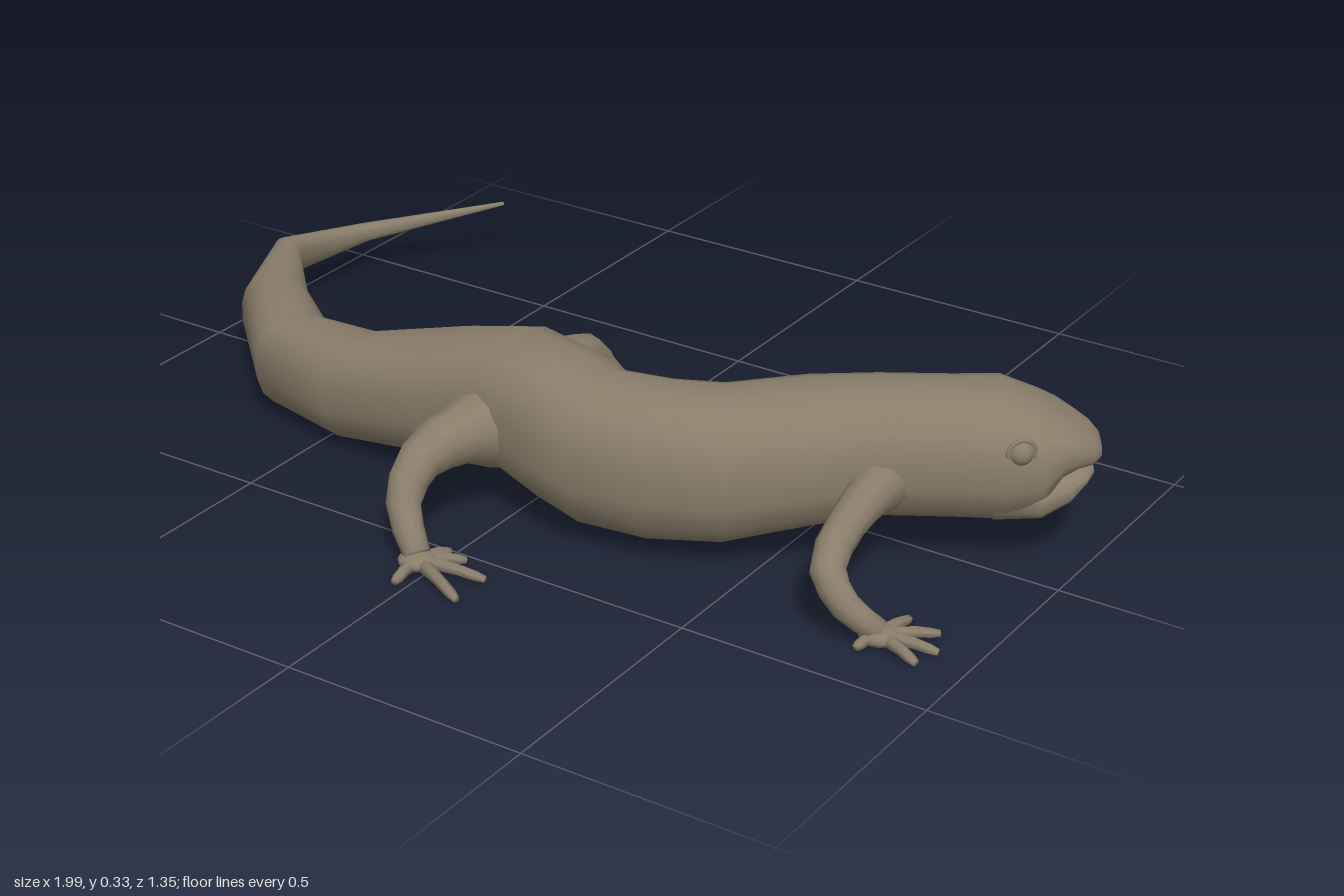
import * as THREE from 'three';

const skin = new THREE.MeshStandardMaterial({ color: 0x8a7e6a });
skin.name = 'olive brown skin';
const UP = new THREE.Vector3(0, 1, 0);

// Loft of rounded cross-sections; each row is [x, y, z, halfWidth, halfHeight]
function loft(name, rows, sides, power = 2, level = false) {
  const pts = rows.map(r => new THREE.Vector3(r[0], r[1], r[2]));
  const pos = [], index = [];
  const soft = v => Math.sign(v) * Math.pow(Math.abs(v), 2 / power);
  rows.forEach((r, i) => {
    const t = pts[Math.min(i + 1, rows.length - 1)].clone().sub(pts[i]).normalize();
    if (i > 0) t.add(pts[i].clone().sub(pts[i - 1]).normalize());
    if (level || i === rows.length - 1 && i === 0) t.y = 0;
    t.normalize();
    const side = t.clone().cross(UP).normalize();
    const up = side.clone().cross(t);
    for (let j = 0; j < sides; j++) {
      const a = (j + 0.5) / sides * Math.PI * 2;
      const p = pts[i].clone()
        .addScaledVector(side, soft(Math.cos(a)) * r[3])
        .addScaledVector(up, soft(Math.sin(a)) * r[4]);
      pos.push(p.x, p.y, p.z);
    }
  });
  for (let i = 0; i < rows.length - 1; i++) {
    for (let j = 0; j < sides; j++) {
      const a = i * sides + j, b = i * sides + (j + 1) % sides;
      index.push(a, a + sides, b, b, a + sides, b + sides);
    }
  }
  // end caps
  const n = rows.length * sides, last = n - sides;
  pos.push(...pts[0].toArray(), ...pts[pts.length - 1].toArray());
  for (let j = 0; j < sides; j++) {
    const k = (j + 1) % sides;
    index.push(n, j, k, n + 1, last + k, last + j);
  }
  const g = new THREE.BufferGeometry();
  g.setAttribute('position', new THREE.Float32BufferAttribute(pos, 3));
  g.setIndex(index);
  g.computeVertexNormals();
  const mesh = new THREE.Mesh(g, skin);
  mesh.name = name;
  return mesh;
}

// Point in head space: distance forward, distance sideways
const headPoint = (s, lat, y) => [0.72 + 0.83 * s + 0.55 * lat, y, -0.03 - 0.55 * s + 0.83 * lat];
const headRow = ([s, hw, bottom, top]) => [...headPoint(s, 0, (top + bottom) / 2), hw, (top - bottom) / 2];

// Leg with a smoothed path and five toes; path rows are [x, y, z, radius]
function makeLeg(name, path, tips) {
  const leg = new THREE.Group();
  leg.name = name;
  const curve = new THREE.CatmullRomCurve3(path.map(p => new THREE.Vector3(p[0], p[1], p[2])));
  const steps = (path.length - 1) * 2;
  const rows = [];
  for (let i = 0; i <= steps; i++) {
    const p = curve.getPoint(i / steps);
    const a = path[Math.floor(i / 2)][3], b = path[Math.ceil(i / 2)][3];
    rows.push([p.x, p.y, p.z, (a + b) / 2, (a + b) / 2]);
  }
  leg.add(loft(name + 'Limb', rows, 10));

  const [px, , pz] = path[path.length - 1];
  const palm = new THREE.Mesh(new THREE.SphereGeometry(1, 12, 8), skin);
  palm.name = 'palm';
  palm.scale.set(0.038, 0.018, 0.036);
  palm.position.set(px, 0.018, pz);
  leg.add(palm);

  for (const [tx, tz] of tips) {
    const at = (k, y, w, h) => [px + (tx - px) * k, y, pz + (tz - pz) * k, w, h];
    leg.add(loft('toe', [
      at(0.1, 0.018, 0.014, 0.014),
      at(0.6, 0.016, 0.011, 0.012),
      at(0.85, 0.011, 0.011, 0.010),
      at(1, 0.008, 0.007, 0.007),
    ], 6));
  }
  return leg;
}

export function createModel() {
  const model = new THREE.Group();
  model.name = 'salamander';

  // Tail, trunk and upper head in one skin
  const spine = [
    [-0.735, 0.125, -0.68, 0.004, 0.004],
    [-0.95, 0.086, -0.45, 0.017, 0.021],
    [-0.97, 0.115, -0.20, 0.031, 0.042],
    [-0.83, 0.10, 0.01, 0.072, 0.085],
    [-0.64, 0.105, 0.18, 0.088, 0.097],
    [-0.45, 0.115, 0.217, 0.102, 0.107],
    [-0.22, 0.165, 0.215, 0.124, 0.125],
    [-0.06, 0.20, 0.215, 0.132, 0.132],
    [0.08, 0.188, 0.25, 0.130, 0.146],
    [0.17, 0.173, 0.265, 0.130, 0.147],
    [0.29, 0.175, 0.25, 0.130, 0.150],
    [0.40, 0.18, 0.205, 0.135, 0.145],
    [0.53, 0.20, 0.10, 0.135, 0.134],
    [0.63, 0.208, 0.025, 0.128, 0.127],
  ];
  const head = [
    [0.03, 0.128, 0.08, 0.335], [0.12, 0.138, 0.08, 0.333], [0.19, 0.122, 0.10, 0.306],
    [0.225, 0.108, 0.165, 0.286], [0.255, 0.092, 0.183, 0.266],
    [0.285, 0.068, 0.185, 0.247], [0.302, 0.042, 0.195, 0.229],
  ].map(headRow);
  model.add(loft('body', [...spine, ...head], 16, 2.4, true));

  // Lower jaw, set in a little below the mouth line
  const jaw = [
    [0.10, 0.115, 0.085, 0.185], [0.19, 0.112, 0.088, 0.184],
    [0.245, 0.088, 0.115, 0.183], [0.275, 0.062, 0.145, 0.182], [0.29, 0.04, 0.163, 0.181],
  ].map(headRow);
  model.add(loft('lowerJaw', jaw, 14, 2.5, true));

  // Eyes with a lid rim
  for (const m of [1, -1]) {
    const eye = new THREE.Group();
    eye.name = m > 0 ? 'frontEye' : 'backEye';
    const ball = new THREE.Mesh(new THREE.SphereGeometry(0.027, 16, 12), skin);
    ball.name = 'eyeball';
    const lid = new THREE.Mesh(new THREE.TorusGeometry(0.026, 0.005, 6, 18), skin);
    lid.name = 'eyelid';
    lid.position.z = 0.009;
    eye.add(ball, lid);
    eye.position.set(...headPoint(0.14, 0.115 * m, 0.253));
    eye.rotation.y = Math.atan2(0.55 * m + 0.2, 0.83 * m - 0.13);
    model.add(eye);
  }

  // Legs
  model.add(makeLeg('leftHindLeg',
    [[-0.06, 0.17, 0.12, 0.09], [-0.075, 0.18, 0.04, 0.058], [-0.09, 0.165, -0.06, 0.044],
      [-0.085, 0.10, -0.125, 0.034], [-0.03, 0.03, -0.16, 0.026]],
    [[-0.015, -0.24], [0.035, -0.24], [0.115, -0.215], [0.11, -0.14], [0.01, -0.10]]));
  model.add(makeLeg('rightHindLeg',
    [[-0.06, 0.17, 0.30, 0.09], [-0.075, 0.18, 0.39, 0.058], [-0.09, 0.165, 0.49, 0.044],
      [-0.085, 0.10, 0.55, 0.034], [-0.025, 0.03, 0.59, 0.026]],
    [[-0.005, 0.515], [0.04, 0.525], [0.112, 0.565], [0.112, 0.655], [-0.02, 0.668]]));
  model.add(makeLeg('rightFrontLeg',
    [[0.67, 0.17, 0.07, 0.065], [0.69, 0.18, 0.16, 0.044], [0.70, 0.165, 0.27, 0.036],
      [0.72, 0.125, 0.365, 0.034], [0.765, 0.07, 0.375, 0.028], [0.82, 0.025, 0.35, 0.023]],
    [[0.83, 0.255], [0.90, 0.27], [0.93, 0.33], [0.915, 0.385], [0.80, 0.40]]));
  model.add(makeLeg('leftFrontLeg',
    [[0.58, 0.17, -0.03, 0.065], [0.49, 0.18, -0.10, 0.044], [0.405, 0.165, -0.16, 0.036],
      [0.35, 0.125, -0.20, 0.033], [0.37, 0.07, -0.235, 0.028], [0.42, 0.025, -0.285, 0.023]],
    [[0.40, -0.355], [0.475, -0.365], [0.505, -0.315], [0.505, -0.24], [0.44, -0.23]]));

  return model;
}
